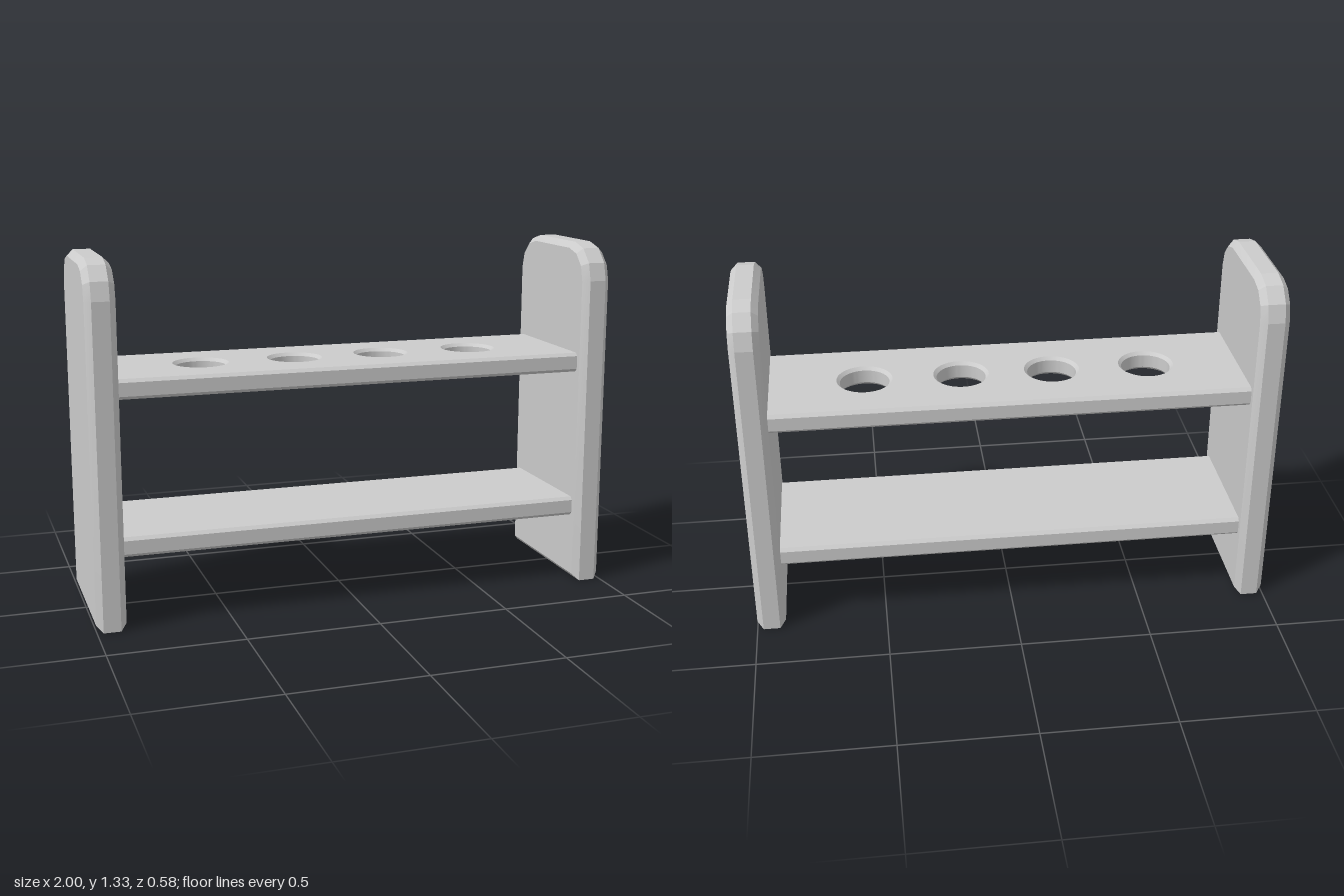
import * as THREE from 'three';
import { toCreasedNormals } from 'three/addons/utils/BufferGeometryUtils.js';

const material = new THREE.MeshStandardMaterial({ color: 0xcccccc });

// Board of the given total thickness, centred on z, with chamfered edges kept inside the outline
function chamferedBoard(shape, thickness, chamfer) {
  const depth = thickness - 2 * chamfer;
  const geometry = new THREE.ExtrudeGeometry(shape, {
    depth,
    bevelEnabled: true,
    bevelThickness: chamfer,
    bevelSize: chamfer,
    bevelOffset: -chamfer,
    bevelSegments: 1,
    curveSegments: 32,
  });
  geometry.translate(0, 0, -depth / 2);
  return toCreasedNormals(geometry, 0.25);
}

// Upright end panel with faceted round top corners
function endPanelGeometry() {
  const half = [[0.29, 0], [0.29, 1.195], [0.272, 1.262], [0.222, 1.314], [0.152, 1.333]];
  const mirrored = half.map(([z, y]) => [-z, y]).reverse();
  const outline = [...half, ...mirrored].map(([z, y]) => new THREE.Vector2(z, y));
  return chamferedBoard(new THREE.Shape(outline), 0.11, 0.023).rotateY(Math.PI / 2);
}

// Horizontal shelf, its ends let into the panels, with optional round holes
function shelfGeometry(holeCentres) {
  const x = 0.91, z = 0.248;
  const shape = new THREE.Shape([
    new THREE.Vector2(-x, -z), new THREE.Vector2(x, -z),
    new THREE.Vector2(x, z), new THREE.Vector2(-x, z),
  ]);
  for (const cx of holeCentres) {
    shape.holes.push(new THREE.Path().absarc(cx, 0, 0.093, 0, Math.PI * 2, true));
  }
  return chamferedBoard(shape, 0.074, 0.012).rotateX(-Math.PI / 2);
}

export function createModel() {
  const model = new THREE.Group();
  model.name = 'tubeRack';

  const add = (name, geometry, x, y) => {
    const mesh = new THREE.Mesh(geometry, material);
    mesh.name = name;
    mesh.position.set(x, y, 0);
    model.add(mesh);
  };

  // End panels
  const panel = endPanelGeometry();
  add('leftEndPanel', panel, 0.945, 0);
  add('rightEndPanel', panel, -0.945, 0);

  // Shelves
  add('holedTopShelf', shelfGeometry([-0.54, -0.176, 0.17, 0.534]), 0, 0.876);
  add('bottomShelf', shelfGeometry([]), 0, 0.298);

  return model;
}
